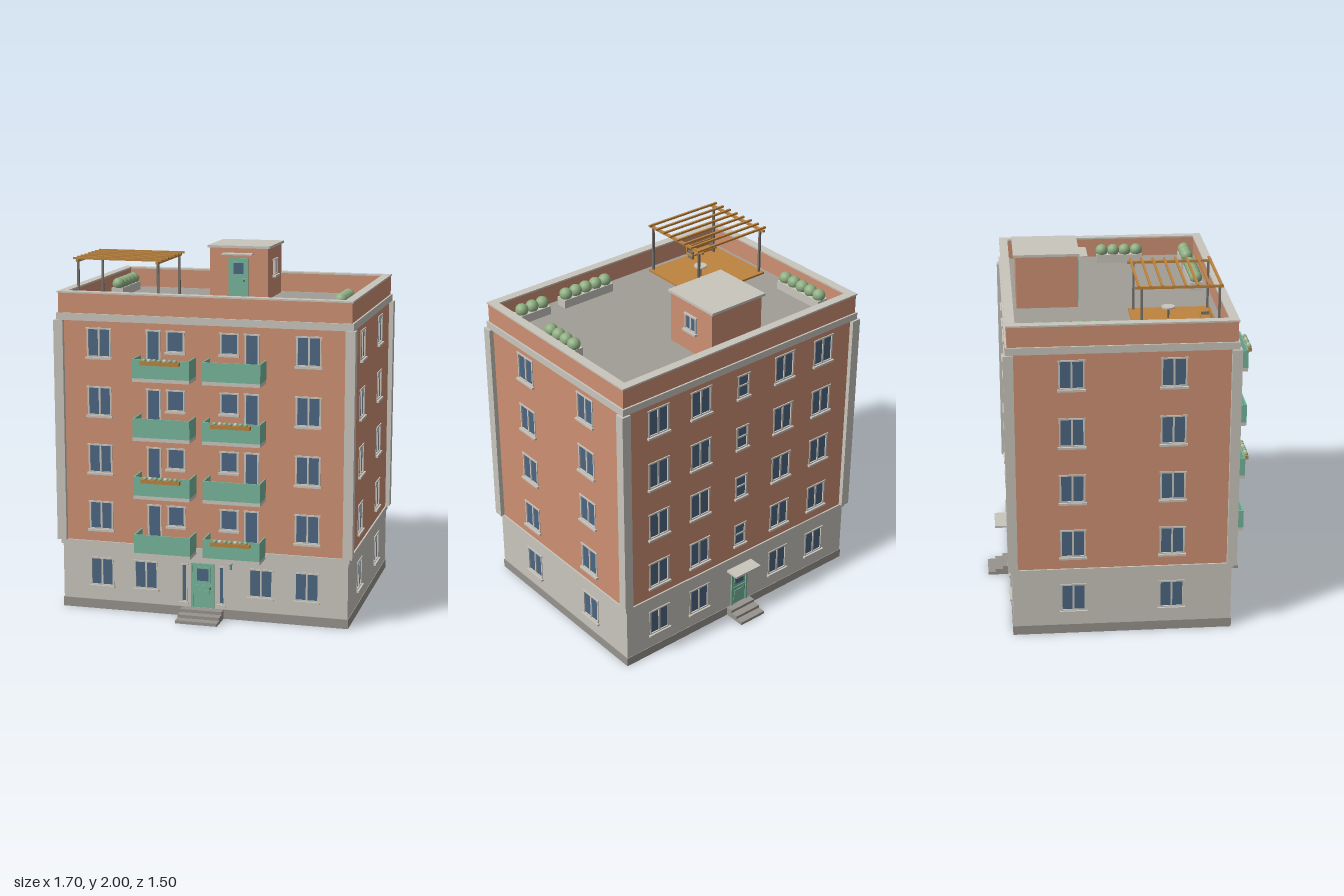
import * as THREE from 'three';

const mat = (name, color) => {
  const m = new THREE.MeshStandardMaterial({ color });
  m.name = name;
  return m;
};
const M = {
  brick: mat('terracotta', 0xcd9073),
  stone: mat('pale stone', 0xc9c5bd),
  plinth: mat('plinth grey', 0x97938d),
  roof: mat('roof grey', 0xa19d97),
  teal: mat('teal paint', 0x76b59c),
  glass: mat('window glass', 0x4c6682),
  wood: mat('wood', 0xbd843f),
  leaf: mat('foliage', 0x8fae82),
  metal: mat('dark metal', 0x77726c),
};

// Building footprint: half width, half depth, depth offset, wall thickness
const HX = 0.822, HZ = 0.605, ZC = -0.017, T = 0.03;
const ROOF = 1.69;
const ROWS = [0.138, 0.467, 0.795, 1.122, 1.45]; // window bottoms per floor
const WIN_H = 0.163, WIN_W = 0.135;

function add(parent, name, geo, material, x = 0, y = 0, z = 0) {
  const m = new THREE.Mesh(geo, material);
  m.name = name;
  m.position.set(x, y, z);
  parent.add(m);
  return m;
}
// Box given by its minimum and maximum corners
function box(parent, name, material, x0, x1, y0, y1, z0, z1) {
  return add(parent, name, new THREE.BoxGeometry(x1 - x0, y1 - y0, z1 - z0), material,
    (x0 + x1) / 2, (y0 + y1) / 2, (z0 + z1) / 2);
}
function rect(P, x0, y0, x1, y1) {
  return new P().moveTo(x0, y0).lineTo(x1, y0).lineTo(x1, y1).lineTo(x0, y1).closePath();
}
// Rectangular band running round the whole building
function ring(parent, name, material, hx, hz, width, y0, y1) {
  const s = rect(THREE.Shape, -hx, -hz, hx, hz);
  s.holes.push(rect(THREE.Path, -hx + width, -hz + width, hx - width, hz - width));
  const g = new THREE.ExtrudeGeometry(s, { depth: y1 - y0, bevelEnabled: false });
  g.rotateX(-Math.PI / 2);
  add(parent, name, g, material, 0, y0, ZC);
}

// Facade group: local x along the wall, local z = 0 on the outer surface
function facade(parent, name, x, z, rot) {
  const g = new THREE.Group();
  g.name = name;
  g.position.set(x, 0, z);
  g.rotation.y = rot;
  parent.add(g);
  return { g, holes: [] };
}
function wallPanel(f, name, material, w, y0, y1) {
  const s = rect(THREE.Shape, -w, y0, w, y1);
  f.holes.filter(h => h[1] > y0 && h[3] < y1).forEach(h => s.holes.push(rect(THREE.Path, ...h)));
  add(f.g, name, new THREE.ExtrudeGeometry(s, { depth: T, bevelEnabled: false }), material, 0, 0, -T);
}

// Framed glazing with vertical or horizontal division and a sill
function windowUnit(f, u, y, w, h, split = 'v', sill = true) {
  const a = u - w / 2, b = u + w / 2, t = 0.007;
  f.holes.push([a, y, b, y + h]);
  const g = new THREE.Group();
  g.name = 'window';
  f.g.add(g);
  box(g, 'glass', M.glass, a, b, y, y + h, -0.024, -0.004);
  box(g, 'frameLeft', M.stone, a - 0.002, a + t, y, y + h, -0.02, 0.004);
  box(g, 'frameRight', M.stone, b - t, b + 0.002, y, y + h, -0.02, 0.004);
  box(g, 'frameTop', M.stone, a - 0.006, b + 0.006, y + h - t, y + h + 0.002, -0.02, 0.006);
  box(g, 'frameBottom', M.stone, a, b, y, y + t, -0.02, 0.004);
  if (split === 'v') box(g, 'mullion', M.stone, u - 0.005, u + 0.005, y, y + h, -0.02, 0.002);
  if (split === 'h') box(g, 'transom', M.stone, a, b, y + h * 0.48, y + h * 0.48 + 0.009, -0.02, 0.002);
  if (sill) box(g, 'sill', M.stone, a - 0.009, b + 0.009, y - 0.011, y + 0.001, -0.01, 0.015);
}
// Painted door with a glazed upper light and a lower panel
function doorUnit(f, u, y, w, h) {
  const a = u - w / 2, b = u + w / 2, t = 0.011;
  f.holes.push([a, y, b, y + h]);
  const g = new THREE.Group();
  g.name = 'door';
  f.g.add(g);
  box(g, 'leaf', M.teal, a, b, y, y + h, -0.026, 0.002);
  box(g, 'jambLeft', M.teal, a, a + t, y, y + h, -0.02, 0.01);
  box(g, 'jambRight', M.teal, b - t, b, y, y + h, -0.02, 0.01);
  box(g, 'doorHead', M.teal, a, b, y + h - t, y + h, -0.02, 0.01);
  box(g, 'lightFrame', M.teal, u - w * 0.32, u + w * 0.32, y + h * 0.57, y + h * 0.92, 0, 0.006);
  box(g, 'lightGlass', M.glass, u - w * 0.25, u + w * 0.25, y + h * 0.61, y + h * 0.88, 0, 0.008);
  box(g, 'midRail', M.teal, a + t, b - t, y + h * 0.47, y + h * 0.51, 0, 0.007);
  box(g, 'lowerPanel', M.teal, u - w * 0.3, u + w * 0.3, y + h * 0.1, y + h * 0.4, 0, 0.006);
  box(g, 'handle', M.metal, b - 0.03, b - 0.022, y + h * 0.42, y + h * 0.47, 0, 0.014);
}
// Three steps descending away from the wall
function steps(f, hw, run) {
  for (let i = 0; i < 3; i++)
    box(f.g, 'step', M.plinth, -hw, hw, 0.0175 * (2 - i), 0.0175 * (3 - i), 0, run * (i + 1));
}
// Balcony on the front wall; side is -1 or 1
function balcony(f, side, b, planted) {
  const g = new THREE.Group();
  g.name = 'balcony';
  f.g.add(g);
  const c = side * 0.197, x0 = c - 0.161, x1 = c + 0.161, D = 0.136, y0 = b - 0.102, y1 = b + 0.023;
  box(g, 'slab', M.stone, x0, x1, y0, y0 + 0.02, 0, D);
  box(g, 'frontPanel', M.teal, x0, x1, y0 + 0.02, y1, D - 0.008, D);
  for (const x of [x0, x1 - 0.008]) box(g, 'sidePanel', M.teal, x, x + 0.008, y0 + 0.02, y1, 0, D - 0.008);
  if (!planted) return;
  box(g, 'flowerBox', M.wood, c - 0.11, c + 0.11, b - 0.005, b + 0.016, D, D + 0.026);
  for (let i = 0; i < 7; i++)
    add(g, 'boxPlant', new THREE.SphereGeometry(0.012, 8, 6), i % 3 === 1 ? M.stone : M.leaf,
      c + (i - 3) * 0.029, b + 0.02, D + 0.014);
}
// Roof planter with a row of clipped bushes
function planter(parent, x, z, n, alongX) {
  const g = new THREE.Group();
  g.name = 'planter';
  g.position.set(x, ROOF, z);
  if (!alongX) g.rotation.y = Math.PI / 2;
  parent.add(g);
  const half = n * 0.034;
  box(g, 'trough', M.stone, -half, half, 0, 0.05, -0.035, 0.035);
  for (let i = 0; i < n; i++)
    add(g, 'bush', new THREE.SphereGeometry(0.037, 14, 10), M.leaf, (i - (n - 1) / 2) * 0.069, 0.07, 0);
}

export function createModel() {
  const model = new THREE.Group();
  model.name = 'apartmentBuilding';

  const front = facade(model, 'frontFacade', 0, ZC + HZ, 0);
  const back = facade(model, 'backFacade', 0, ZC - HZ, Math.PI);
  const right = facade(model, 'leftFacade', HX, ZC, Math.PI / 2);
  const left = facade(model, 'rightFacade', -HX, ZC, -Math.PI / 2);

  // Windows on every floor
  ROWS.forEach((y, i) => {
    for (const s of [-1, 1]) {
      for (const f of [left, right]) windowUnit(f, s * 0.272, y, WIN_W, WIN_H);
      windowUnit(front, s * 0.592, y, WIN_W, WIN_H);
      windowUnit(back, s * 0.592, y, WIN_W, WIN_H);
      windowUnit(back, s * 0.3, y, WIN_W, WIN_H);
      if (i === 0) {
        windowUnit(front, s * 0.332, y, WIN_W, WIN_H);
        windowUnit(front, s * 0.108, 0.08, 0.034, 0.222, '');
      } else {
        windowUnit(front, s * 0.152, y + 0.045, 0.1, WIN_H - 0.045, '');
        windowUnit(front, s * 0.278, y - 0.067, 0.078, WIN_H + 0.067, '', false);
        balcony(front, s, y, (i % 2 === 1) === (s === 1));
      }
    }
    if (i > 0) windowUnit(back, 0, y + 0.003, 0.08, 0.14, 'h');
  });

  // Entrances
  doorUnit(front, 0, 0.055, 0.135, 0.257);
  doorUnit(back, 0, 0.055, 0.12, 0.235);
  steps(front, 0.12, 0.05);
  steps(back, 0.087, 0.044);
  box(back.g, 'backCanopy', M.stone, -0.092, 0.092, 0.308, 0.32, 0, 0.085);
  box(front.g, 'lampBracket', M.metal, 0.16, 0.17, 0.315, 0.325, 0, 0.025);
  add(front.g, 'lampGlobe', new THREE.SphereGeometry(0.011, 10, 8), M.stone, 0.165, 0.328, 0.025);
  add(front.g, 'lampBody', new THREE.CylinderGeometry(0.009, 0.006, 0.026, 8), M.teal, 0.165, 0.305, 0.02);

  // Walls with openings
  for (const [f, w] of [[front, HX], [back, HX], [left, HZ - T], [right, HZ - T]]) {
    wallPanel(f, 'groundFloorWall', M.stone, w, 0.05, 0.372);
    wallPanel(f, 'upperWall', M.brick, w, 0.372, 1.66);
  }

  // Bands, parapet and corner strips
  ring(model, 'plinth', M.plinth, HX + 0.004, HZ + 0.004, T + 0.004, 0, 0.053);
  ring(model, 'floorBand', M.stone, HX + 0.009, HZ + 0.009, T + 0.007, 0.372, 0.398);
  ring(model, 'cornice', M.stone, HX + 0.013, HZ + 0.013, 0.05, 1.652, 1.692);
  ring(model, 'parapet', M.brick, HX + 0.003, HZ + 0.003, 0.04, 1.692, 1.802);
  ring(model, 'coping', M.stone, HX + 0.008, HZ + 0.008, 0.05, 1.802, 1.811);
  for (const sx of [-1, 1]) for (const sz of [-1, 1])
    add(model, 'cornerStrip', new THREE.BoxGeometry(0.054, 1.254, 0.054), M.stone,
      sx * 0.821, 1.025, ZC + sz * 0.603);
  box(model, 'roofDeck', M.roof, -HX + 0.02, HX - 0.02, 1.662, ROOF, ZC - HZ + 0.02, ZC + HZ - 0.02);

  // Stair house
  const house = new THREE.Group();
  house.name = 'stairHouse';
  model.add(house);
  box(house, 'stairHouseWalls', M.brick, -0.176, 0.172, ROOF, 1.986, -0.553, -0.212);
  box(house, 'stairHouseRoof', M.stone, -0.188, 0.184, 1.986, 2, -0.568, -0.202);
  const hf = facade(house, 'stairHouseFront', 0, -0.212, 0);
  doorUnit(hf, -0.003, ROOF, 0.118, 0.238);
  box(hf.g, 'stairHouseCanopy', M.stone, -0.093, 0.088, 1.95, 1.958, 0, 0.06);
  const hs = facade(house, 'stairHouseSide', 0.177, -0.382, Math.PI / 2);
  windowUnit(hs, 0, 1.818, 0.09, 0.094);

  // Pergola over a timber terrace
  const pergola = new THREE.Group();
  pergola.name = 'pergola';
  model.add(pergola);
  box(pergola, 'terrace', M.wood, -0.755, -0.252, ROOF, ROOF + 0.012, 0.06, 0.512);
  for (const x of [-0.736, -0.275]) {
    for (const z of [0.087, 0.498])
      box(pergola, 'post', M.metal, x - 0.006, x + 0.006, ROOF, 1.968, z - 0.006, z + 0.006);
    box(pergola, 'beam', M.wood, x - 0.007, x + 0.007, 1.965, 1.979, 0.052, 0.518);
  }
  for (let i = 0; i < 8; i++) {
    const z = 0.07 + i * 0.062;
    box(pergola, 'slat', M.wood, -0.762, -0.25, 1.979, 1.99, z - 0.006, z + 0.006);
  }

  // Bench and round table
  box(pergola, 'benchSeat', M.wood, -0.7, -0.507, 1.735, 1.745, 0.425, 0.48);
  box(pergola, 'benchBack', M.wood, -0.7, -0.507, 1.75, 1.785, 0.472, 0.48);
  for (const x of [-0.69, -0.527])
    box(pergola, 'benchLeg', M.metal, x, x + 0.01, ROOF, 1.785, 0.43, 0.472).scale.y = 0.5;
  add(pergola, 'tableTop', new THREE.CylinderGeometry(0.037, 0.037, 0.008, 24), M.stone, -0.436, 1.765, 0.262);
  add(pergola, 'tableStem', new THREE.CylinderGeometry(0.006, 0.006, 0.07, 10), M.metal, -0.436, 1.73, 0.262);

  // Planters
  planter(model, -0.722, -0.297, 5, false);
  planter(model, 0.685, 0.087, 4, false);
  planter(model, 0.237, 0.48, 5, true);
  planter(model, 0.608, 0.48, 3, true);

  return model;
}
